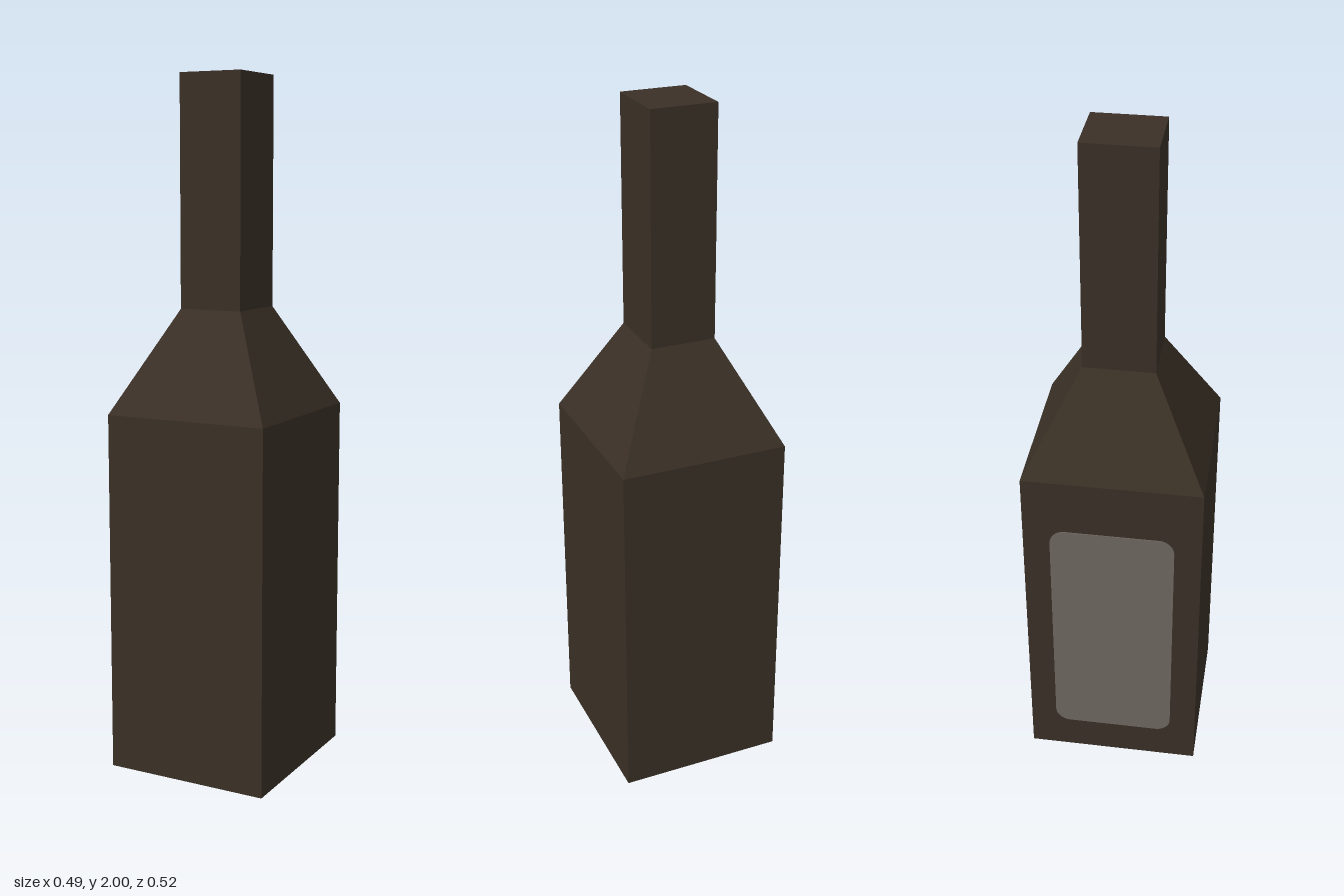
import * as THREE from 'three';

const bottleMat = new THREE.MeshStandardMaterial({ color: 0x3a3026, flatShading: true });
bottleMat.name = 'dark brown glass';
const labelMat = new THREE.MeshStandardMaterial({ color: 0x6e6660 });
labelMat.name = 'grey label';

// Skin a stack of rectangular sections [halfX, halfZ, y], with the outside facing out
function loftRects(sections) {
  const signs = [[1, 1], [1, -1], [-1, -1], [-1, 1]];
  const corner = ([hx, hz, y], i) => [hx * signs[i % 4][0], y, hz * signs[i % 4][1]];
  const positions = [];
  for (let s = 0; s < sections.length - 1; s++) {
    const low = sections[s], high = sections[s + 1];
    for (let i = 0; i < 4; i++) {
      const a = corner(low, i), b = corner(low, i + 1);
      const c = corner(high, i + 1), d = corner(high, i);
      if (low[0] > 0) positions.push(...a, ...b, ...c);
      if (high[0] > 0) positions.push(...a, ...c, ...d);
      else if (low[0] === 0) continue;
    }
  }
  const geo = new THREE.BufferGeometry();
  geo.setAttribute('position', new THREE.Float32BufferAttribute(positions, 3));
  geo.computeVertexNormals();
  return geo;
}

function roundedRect(w, h, r) {
  const x = w / 2, y = h / 2;
  const shape = new THREE.Shape();
  shape.absarc(x - r, y - r, r, 0, Math.PI / 2);
  shape.absarc(-x + r, y - r, r, Math.PI / 2, Math.PI);
  shape.absarc(-x + r, -y + r, r, Math.PI, Math.PI * 1.5);
  shape.absarc(x - r, -y + r, r, Math.PI * 1.5, Math.PI * 2);
  shape.closePath();
  return shape;
}

export function createModel() {
  const model = new THREE.Group();
  model.name = 'squareBottle';

  // Bottle: recessed base, square body, sloped shoulder, straight neck
  const bottle = new THREE.Mesh(loftRects([
    [0, 0, 0.09],
    [0.168, 0.178, 0.09],
    [0.168, 0.178, 0],
    [0.245, 0.258, 0],
    [0.245, 0.258, 1.05],
    [0.095, 0.102, 1.345],
    [0.095, 0.102, 2],
    [0, 0, 2],
  ]), bottleMat);
  bottle.name = 'bottle';
  model.add(bottle);

  // Thin rounded label on the -x side
  const label = new THREE.Mesh(
    new THREE.ExtrudeGeometry(roundedRect(0.36, 0.77, 0.045), { depth: 0.003, bevelEnabled: false, curveSegments: 6 }),
    labelMat);
  label.name = 'label';
  label.rotation.y = -Math.PI / 2;
  label.position.set(-0.2445, 0.495, 0);
  model.add(label);

  return model;
}
